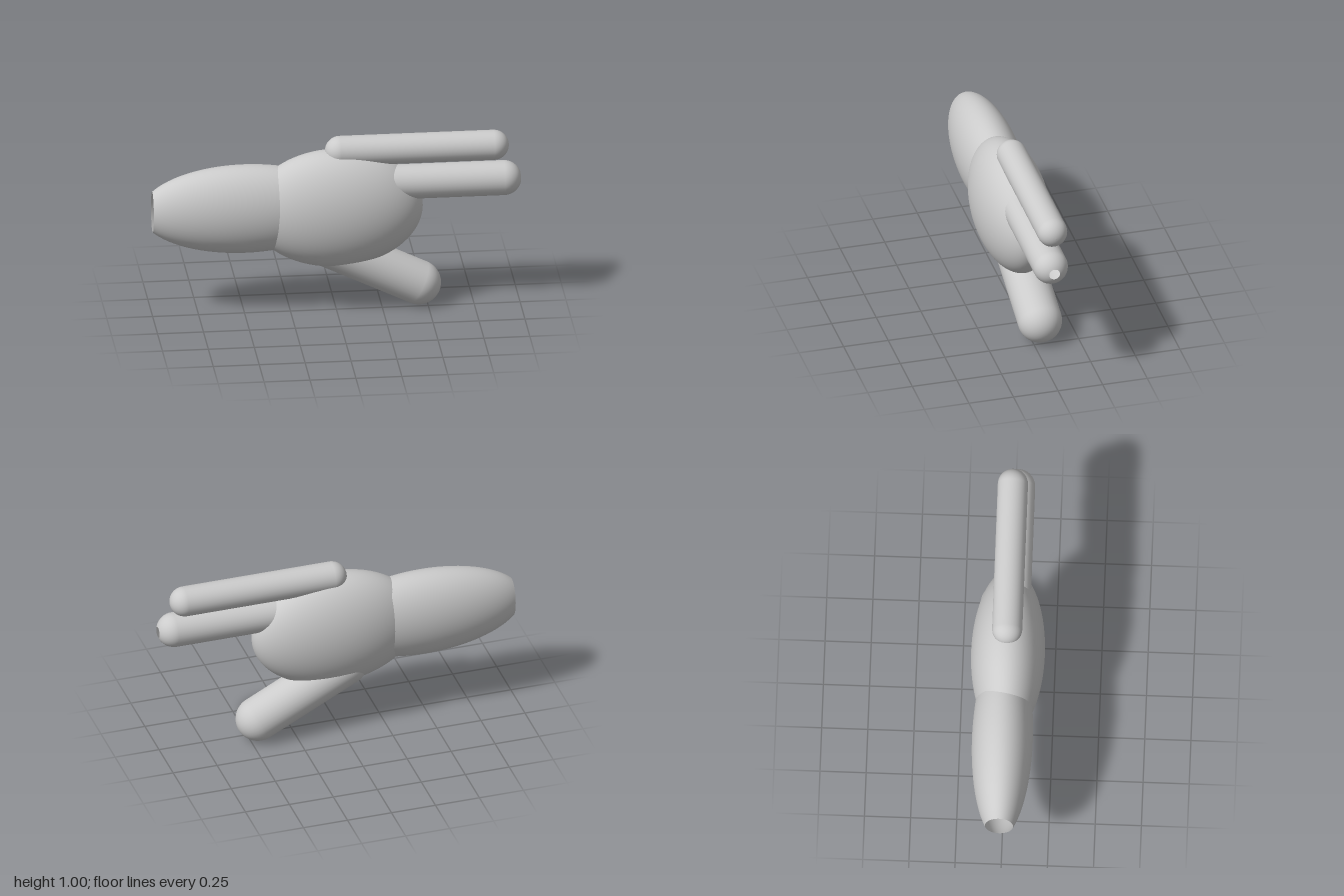
import * as THREE from 'three';

const material = new THREE.MeshStandardMaterial({ color: 0xcccccc, side: THREE.DoubleSide });

function addMesh(group, name, geometry) {
  const mesh = new THREE.Mesh(geometry, material);
  mesh.name = name;
  group.add(mesh);
}

// Ellipsoid lying along x, cut open at the planes x = from and x = to
function ellipsoid(center, radii, from, to) {
  const [a, b, c] = radii;
  const start = Math.acos((from - center[0]) / a);
  const end = Math.acos((to - center[0]) / a);
  const points = [];
  for (let i = 0; i <= 32; i++) {
    const t = start + (end - start) * i / 32;
    points.push(new THREE.Vector2(Math.sin(t), Math.cos(t)));
  }
  return new THREE.LatheGeometry(points, 64)
    .rotateZ(-Math.PI / 2)
    .scale(a, b, c)
    .translate(...center);
}

// Round-ended rod between two centres; tipHole leaves a small opening at the far end
function digit(start, end, radius, tipHole = 0) {
  const a = new THREE.Vector3(...start), b = new THREE.Vector3(...end);
  const axis = b.clone().sub(a);
  const length = axis.length();
  const points = [];
  const last = Math.PI / 2 - Math.asin(tipHole / radius);
  for (let i = 0; i <= 12; i++) {
    const t = -Math.PI / 2 + Math.PI / 2 * i / 12;
    points.push(new THREE.Vector2(radius * Math.cos(t), radius * Math.sin(t)));
  }
  for (let i = 0; i <= 12; i++) {
    const t = Math.PI / 2 - (Math.PI / 2) * (1 - i / 12) - (Math.PI / 2 - last) * i / 12;
    points.push(new THREE.Vector2(radius * Math.cos(t), length + radius * Math.sin(t)));
  }
  const turn = new THREE.Quaternion().setFromUnitVectors(new THREE.Vector3(0, 1, 0), axis.normalize());
  return new THREE.LatheGeometry(points, 32).applyQuaternion(turn).translate(...start);
}

export function createModel() {
  const hand = new THREE.Group();
  hand.name = 'pointingHand';

  // Forearm, open at the elbow end, running into the open back of the palm
  addMesh(hand, 'forearm', ellipsoid([-0.5, 0.605, -0.012], [0.563, 0.25, 0.165], -1, -0.29));
  addMesh(hand, 'palm', ellipsoid([0, 0.595, 0], [0.47, 0.335, 0.2], -0.36, 0.47));

  // Two straight fingers, the lower one with a small hole in its tip
  addMesh(hand, 'upperFinger', digit([0.02, 0.922, -0.005], [0.857, 0.922, -0.005], 0.082));
  addMesh(hand, 'lowerFinger', digit([0.2, 0.738, 0.019], [0.91, 0.738, 0.019], 0.095, 0.03));

  // Thumb sloping down and slightly back
  addMesh(hand, 'thumb', digit([-0.05, 0.37, -0.028], [0.453, 0.121, -0.045], 0.121));

  return hand;
}
